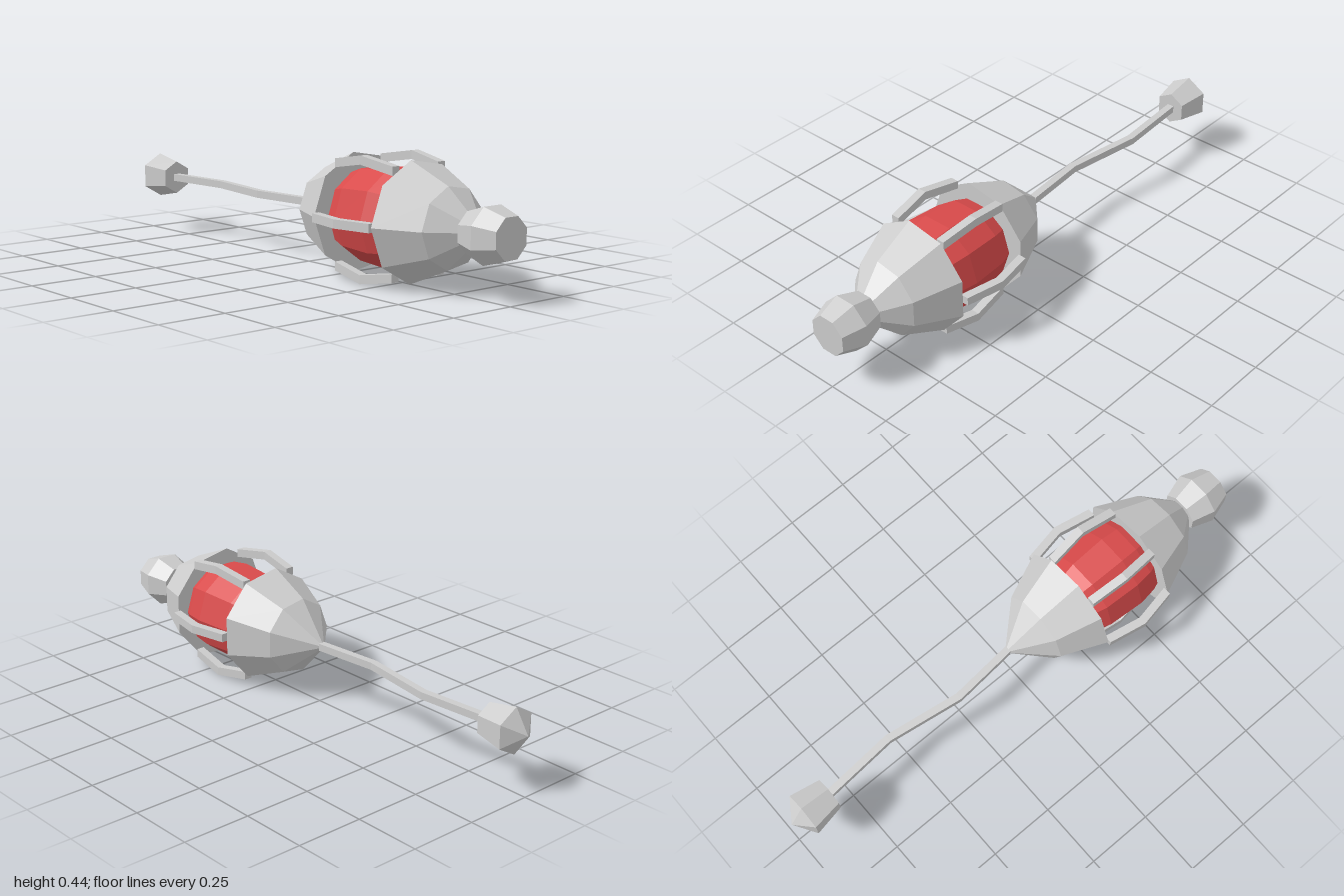
import * as THREE from 'three';

const AXIS_Y = 0.22;
const grey = new THREE.MeshStandardMaterial({ color: 0xcccccc, flatShading: true });
const red = new THREE.MeshStandardMaterial({ color: 0xd84a4a, flatShading: true });

// Faceted solid turned about the z axis; profile is [radius, z] with z rising
function turned(name, profile, sides, phase, material = grey) {
  const points = profile.map(([r, z]) => new THREE.Vector2(r, z));
  const geometry = new THREE.LatheGeometry(points, sides, phase).rotateX(Math.PI / 2);
  const mesh = new THREE.Mesh(geometry, material);
  mesh.name = name;
  mesh.position.y = AXIS_Y;
  return mesh;
}

// Square bar whose upright cross-section slides along a path of [x, y, z], z rising
function bar(name, path, width) {
  const n = path.length - 1;
  const geometry = new THREE.BoxGeometry(width, width, n, 1, 1, n);
  const p = geometry.attributes.position;
  for (let i = 0; i < p.count; i++) {
    const [x, y, z] = path[Math.round(p.getZ(i) + n / 2)];
    p.setXYZ(i, p.getX(i) + x, p.getY(i) + y, z);
  }
  geometry.computeVertexNormals();
  const mesh = new THREE.Mesh(geometry, grey);
  mesh.name = name;
  mesh.position.y = AXIS_Y;
  return mesh;
}

export function createModel() {
  const model = new THREE.Group();
  model.name = 'capsuleWithTail';

  // Nine-sided pointed shells, with a gap between them
  model.add(turned('frontShell', [[0, 0.575], [0.213, 0.575], [0.142, 0.74], [0, 0.885]], 9, -Math.PI / 2));
  model.add(turned('backShell', [[0, -0.025], [0.142, 0.12], [0.213, 0.285], [0, 0.285]], 9, -Math.PI / 2));

  // Red core seen through the gap
  model.add(turned('core',
    [[0, 0.2], [0.09, 0.22], [0.148, 0.285], [0.168, 0.34], [0.178, 0.48], [0.168, 0.55], [0.14, 0.62], [0, 0.68]],
    10, Math.PI / 10, red));

  // Six bent ribs bridging the gap
  const ribs = new THREE.Group();
  ribs.name = 'ribs';
  for (let i = 0; i < 6; i++) {
    const a = (i * Math.PI) / 3;
    const path = [[0.207, 0.285], [0.235, 0.43], [0.207, 0.575]]
      .map(([r, z]) => [r * Math.cos(a), r * Math.sin(a), z]);
    ribs.add(bar('rib', path, 0.031));
  }
  model.add(ribs);

  // Octagonal nose knob
  model.add(turned('noseKnob', [[0, 0.83], [0.075, 0.83], [0.103, 0.915], [0.075, 1], [0, 1]], 8, Math.PI / 8));

  // Kinked tail and its pointed end
  model.add(bar('tail', [[0, 0, -0.84], [0.022, 0, -0.55], [-0.022, 0, -0.26], [0, 0, -0.01]], 0.027));
  model.add(turned('tailTip', [[0, -1], [0.085, -0.945], [0.063, -0.83], [0, -0.83]], 6, 0));

  return model;
}
